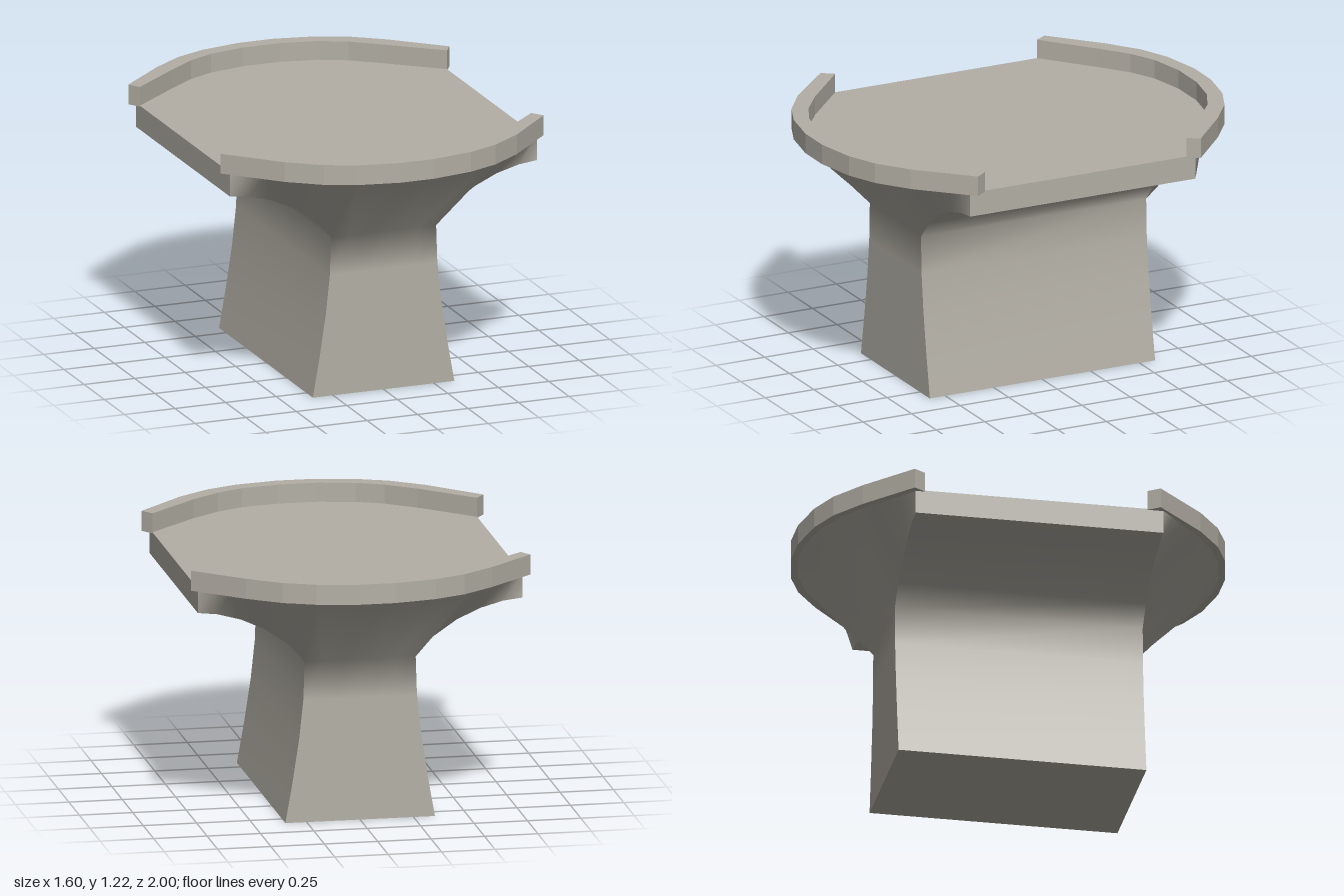
import * as THREE from 'three';
import { mergeGeometries, mergeVertices } from 'three/addons/utils/BufferGeometryUtils.js';

const HALF_Z = 0.58, DECK_Y = 1.13;

// Side profile (x, y): tapering stem, then an arch sweeping out under the deck
const stem = [[0.35, 0], [0.315, 0.2], [0.285, 0.4], [0.266, 0.58], [0.26, 0.76]];
const arch = [[0.34, 0.85], [0.45, 0.925], [0.56, 0.975], [0.67, 1.005], [0.76, 1.015]];
// Rounded end of the deck (x, z), one point for each column of the flare
const deckEnd = [[0.08, 0.975], [0.27, 0.935], [0.41, 0.87], [0.485, 0.82], [0.56, 0.765],
  [0.63, 0.7], [0.695, 0.64], [0.76, HALF_Z]];
const columns = [0.333, 0.667, 1];

// Mirrors a half row of points to run from -x to +x
const mirror = (half) => [...half.map(([x, ...r]) => [-x, ...r]).reverse(), ...half];

// Surface through rows of points, seen from the side where rows go up and points go right
function loft(rows) {
  const n = rows[0].length, index = [];
  for (let i = 0; i < rows.length - 1; i++) {
    for (let j = 0; j < n - 1; j++) {
      const a = i * n + j, b = a + 1, c = b + n, d = a + n;
      index.push(a, b, c, a, c, d);
    }
  }
  const g = new THREE.BufferGeometry();
  g.setAttribute('position', new THREE.Float32BufferAttribute(rows.flat(2), 3));
  g.setIndex(index);
  g.computeVertexNormals();
  return g;
}

// Stem end face running smoothly into the flare below the rounded deck end
function endGeometry() {
  const face = loft(stem.map(([w, y]) => mirror(columns.map((c) => [w * c, y, HALF_Z]))));
  const low = [...columns.map((c) => [0.26 * c, 0.76, HALF_Z]), ...arch.map(([x, y]) => [x, y, HALF_Z])];
  const high = deckEnd.map(([x, z]) => [x, DECK_Y, z]);
  const flare = loft([mirror(low), mirror(high)]);
  [face, flare].forEach((g) => g.deleteAttribute('normal'));
  const g = mergeVertices(mergeGeometries([face, flare]), 1e-4);
  g.computeVertexNormals();
  return g;
}

// Curved parapet with a flat cut at each end
function railGeometry(outerTip, innerTip) {
  const outer = mirror([[0.085, 1], [0.28, 0.962], [0.425, 0.9], [0.575, 0.79], outerTip]);
  const inner = mirror([[0.09, 0.925], [0.265, 0.89], [0.39, 0.83], [0.525, 0.727], innerTip]);
  const shape = new THREE.Shape([...outer, ...inner.reverse()].map(([x, z]) => new THREE.Vector2(x, z)));
  const g = new THREE.ExtrudeGeometry(shape, { depth: 0.095, bevelEnabled: false });
  return g.rotateX(Math.PI / 2).translate(0, 1.22, 0);
}

export function createModel() {
  const model = new THREE.Group();
  model.name = 'pier';
  const concrete = new THREE.MeshStandardMaterial({ color: 0xb3afa5 });
  concrete.name = 'concrete';
  concrete.side = THREE.DoubleSide;

  const add = (name, geometry, turn = 0) => {
    const mesh = new THREE.Mesh(geometry, concrete);
    mesh.name = name;
    mesh.rotation.y = turn;
    model.add(mesh);
  };

  // Stem ends and arched sides, each with its opposite
  const end = endGeometry();
  const strip = ([x, y]) => [[x, y, HALF_Z], [x, y, -HALF_Z]];
  const side = loft([...stem, ...arch].map(strip));
  const edge = loft([[0.76, 1.015], [0.76, DECK_Y]].map(strip));
  [['front', 'left', 0], ['back', 'right', Math.PI]].forEach(([endName, sideName, turn]) => {
    add(endName + 'Flare', end, turn);
    add(sideName + 'Side', side, turn);
    add(sideName + 'DeckEdge', edge, turn);
  });

  // Deck top and underside of the stem
  const half = mirror(deckEnd);
  const outline = [...half, ...half.map(([x, z]) => [-x, -z])];
  const deckShape = new THREE.Shape(outline.map(([x, z]) => new THREE.Vector2(x, z)));
  add('deck', new THREE.ShapeGeometry(deckShape).rotateX(-Math.PI / 2).translate(0, DECK_Y, 0));
  add('base', new THREE.PlaneGeometry(0.7, HALF_Z * 2).rotateX(Math.PI / 2));

  // Parapets
  add('frontParapet', railGeometry([0.8, 0.56], [0.76, 0.505]));
  add('backParapet', railGeometry([0.795, 0.59], [0.76, 0.535]), Math.PI);
  return model;
}
